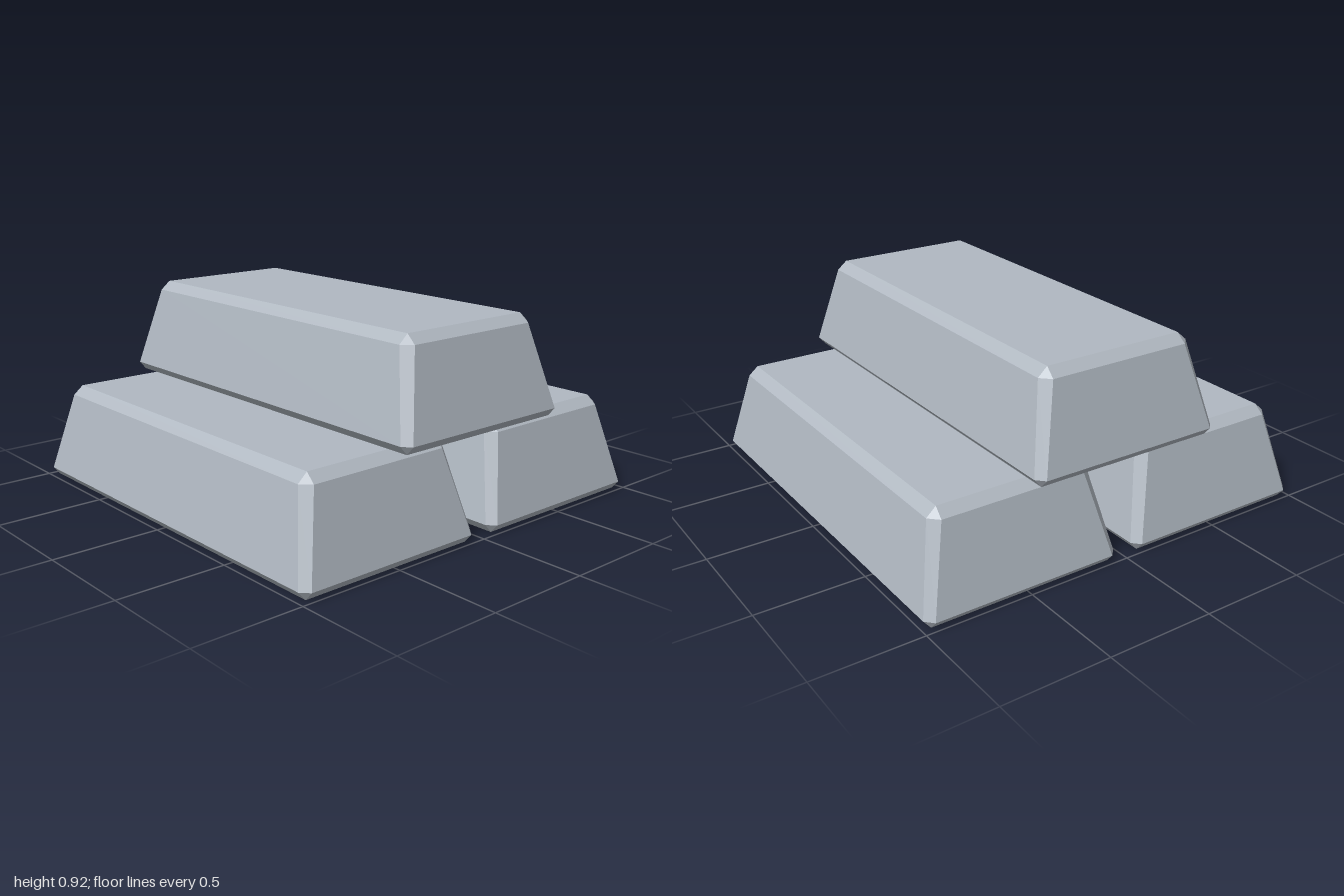
import * as THREE from 'three';
import { ConvexGeometry } from 'three/addons/geometries/ConvexGeometry.js';

// Tapered bar with chamfered edges: three points at each of its eight corners
function ingotGeometry() {
  const corner = [
    // bottom corner: bottom face, end face, side face
    [0.438, 0, 0.965], [0.437, 0.04, 1.0], [0.472, 0.04, 0.963],
    // top corner: top face, end face, side face
    [0.342, 0.46, 0.86], [0.345, 0.42, 0.905], [0.388, 0.42, 0.862],
  ];
  const points = [];
  for (const sx of [-1, 1]) {
    for (const sz of [-1, 1]) {
      for (const [x, y, z] of corner) points.push(new THREE.Vector3(sx * x, y, sz * z));
    }
  }
  return new ConvexGeometry(points);
}

export function createModel() {
  const group = new THREE.Group();
  group.name = 'ingotStack';
  const metal = new THREE.MeshStandardMaterial({ color: 0xb0b8c1 });
  metal.name = 'silver metal';
  const geometry = ingotGeometry();

  // Two bars side by side, one resting across the gap
  const bars = [
    ['rightIngot', -0.52, 0],
    ['leftIngot', 0.52, 0],
    ['topIngot', 0, 0.46],
  ];
  for (const [name, x, y] of bars) {
    const bar = new THREE.Mesh(geometry, metal);
    bar.name = name;
    bar.position.set(x, y, 0);
    group.add(bar);
  }
  return group;
}
